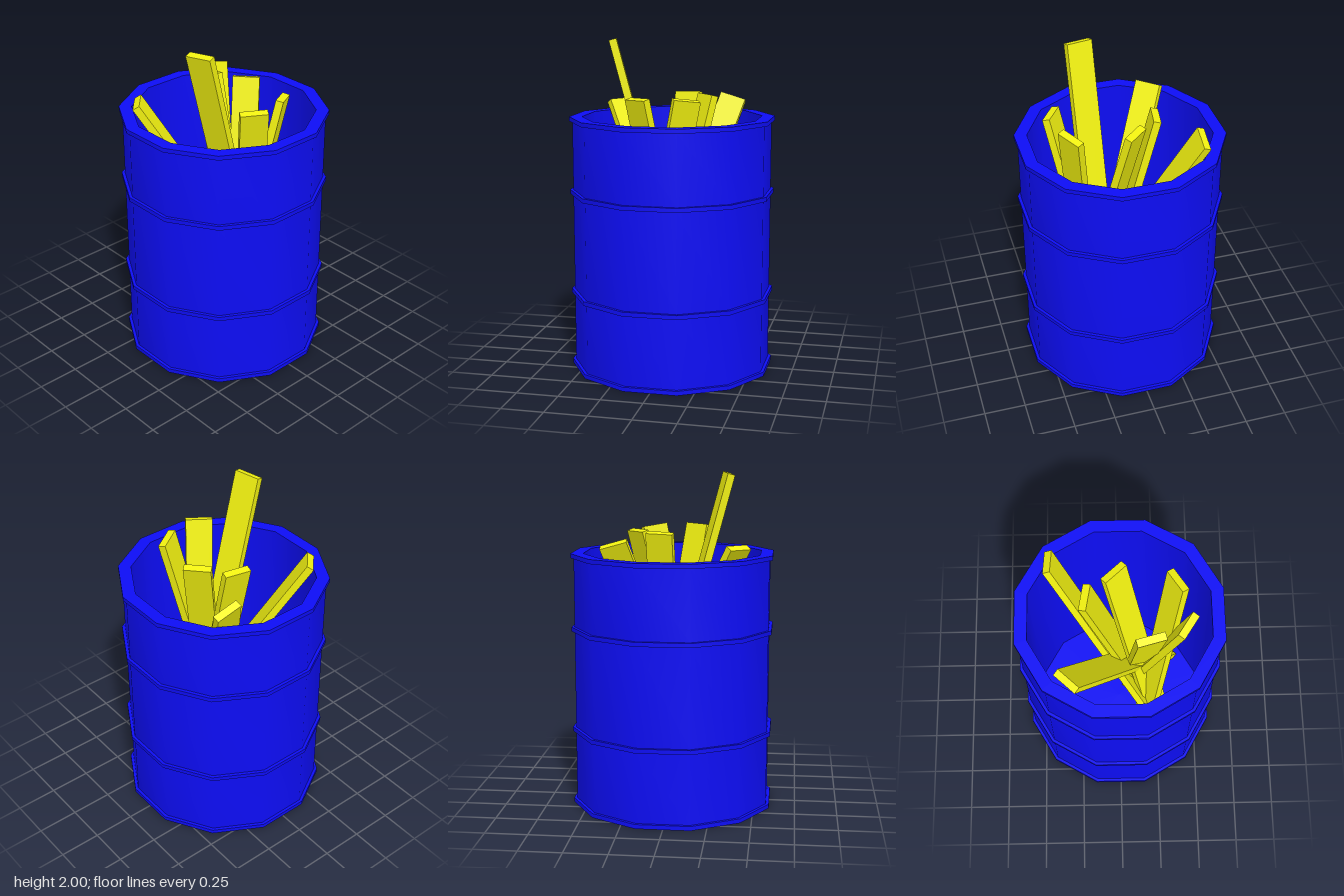
import * as THREE from 'three';
import { toCreasedNormals } from 'three/addons/utils/BufferGeometryUtils.js';

const SIDES = 12;
const HEIGHT = 1.53;
const BODY = 0.597, RIM = 0.616, INNER = 0.54;

const blue = new THREE.MeshStandardMaterial({ color: 0x0d0df5 });
const yellow = new THREE.MeshStandardMaterial({ color: 0xf0f010 });

// Hollow drum: one closed profile, outside with four hoops, then the inside
function makeDrum() {
  const profile = [[0, 0.05], [INNER, 0.05], [INNER, 0]];
  const hoops = [[0, 0.026], [0.449, 0.475], [1.064, 1.09], [HEIGHT - 0.026, HEIGHT]];
  hoops.forEach(([low, high], i) => {
    if (i > 0) profile.push([BODY, low]);
    profile.push([RIM, low], [RIM, high]);
    if (i < hoops.length - 1) profile.push([BODY, high]);
  });
  profile.push([INNER, HEIGHT], [INNER, 0.07], [0, 0.07]);
  const points = profile.map(([r, y]) => new THREE.Vector2(r, y));
  const lathe = new THREE.LatheGeometry(points, SIDES, Math.PI / SIDES);
  const drum = new THREE.Mesh(toCreasedNormals(lathe, 0.7), blue);
  drum.name = 'drum';
  return drum;
}

// Plank running between two end centres; "across" is the level direction of its width
function makePlank({ top, bottom, across }) {
  const a = new THREE.Vector3(...bottom);
  const b = new THREE.Vector3(...top);
  const along = b.clone().sub(a);
  const length = along.length();
  along.normalize();
  const side = new THREE.Vector3(across[0], 0, across[1]);
  side.addScaledVector(along, -side.dot(along)).normalize();
  const face = new THREE.Vector3().crossVectors(side, along);
  const plank = new THREE.Mesh(new THREE.BoxGeometry(0.16, length, 0.045), yellow);
  plank.quaternion.setFromRotationMatrix(new THREE.Matrix4().makeBasis(side, along, face));
  plank.position.copy(a).add(b).multiplyScalar(0.5);
  return plank;
}

const PLANKS = [
  { top: [0.16, 1.99, 0.32], bottom: [0.12, 0.08, -0.19], across: [0.15, -0.04] },
  { top: [-0.405, 1.615, -0.3], bottom: [0.265, 0.08, 0.18], across: [0.01, 0.155] },
  { top: [-0.3, 1.59, 0.405], bottom: [0.325, 0.08, -0.32], across: [0.11, 0.105] },
  { top: [-0.03, 1.66, -0.21], bottom: [0.25, 0.08, 0.12], across: [0.115, -0.105] },
  { top: [0.33, 1.66, -0.155], bottom: [0.16, 0.08, 0.17], across: [0.08, 0.14] },
  { top: [0.38, 1.665, 0.12], bottom: [0.08, 0.08, -0.12], across: [-0.09, 0.14] },
  { top: [-0.195, 1.66, -0.06], bottom: [0.2, 0.08, -0.03], across: [-0.03, 0.16] },
];

export function createModel() {
  const model = new THREE.Group();
  model.name = 'drumOfPlanks';
  model.add(makeDrum());

  const planks = new THREE.Group();
  planks.name = 'planks';
  PLANKS.forEach((spec, i) => {
    const plank = makePlank(spec);
    plank.name = `plank${i + 1}`;
    planks.add(plank);
  });
  model.add(planks);
  return model;
}
